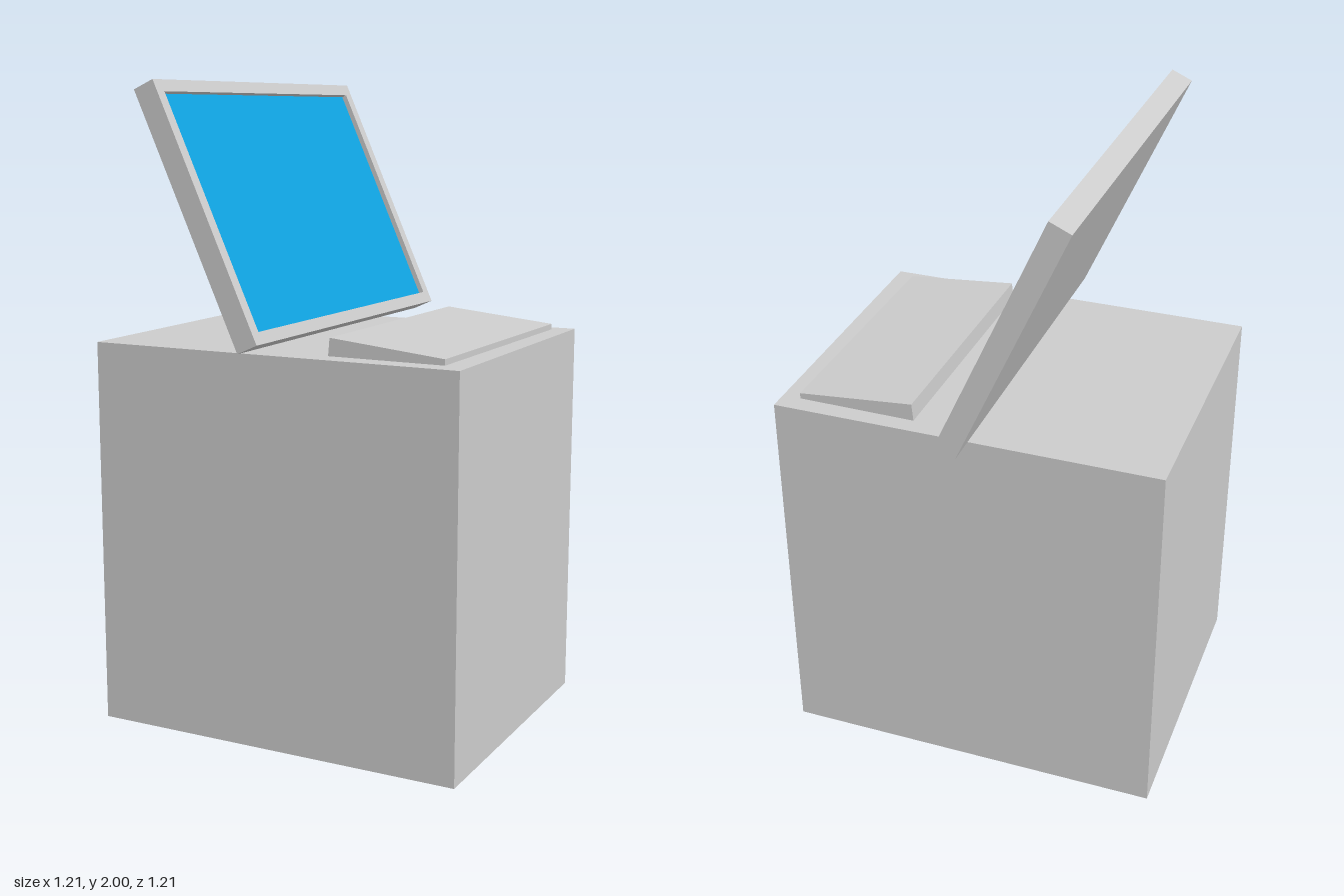
import * as THREE from 'three';

export function createModel() {
  const casing = new THREE.MeshStandardMaterial({ color: 0xcccccc });
  casing.name = 'casingGrey';
  const glass = new THREE.MeshStandardMaterial({ color: 0x10a4e2 });
  glass.name = 'screenBlue';

  const model = new THREE.Group();
  const add = (parent, name, geometry, material) => {
    const mesh = new THREE.Mesh(geometry, material);
    mesh.name = name;
    parent.add(mesh);
    return mesh;
  };

  // Cabinet
  add(model, 'cabinet', new THREE.BoxGeometry(1.208, 1.215, 0.956), casing).position.y = 0.6075;

  // Monitor, built facing its local +z, then turned to +x and tilted back
  const W = 0.604, H = 0.405, T = 0.07, border = 0.037, recess = 0.016;
  const monitor = new THREE.Group();
  monitor.name = 'monitor';
  monitor.position.set(-0.161, 1.618, 0);
  monitor.rotation.order = 'ZYX';
  monitor.rotation.set(0, Math.PI / 2, 0.422);
  model.add(monitor);

  const rect = (target, w, h) => {
    target.moveTo(-w, -h);
    target.lineTo(w, -h);
    target.lineTo(w, h);
    target.lineTo(-w, h);
    target.closePath();
    return target;
  };
  const bezelShape = rect(new THREE.Shape(), W, H);
  bezelShape.holes.push(rect(new THREE.Path(), W - border, H - border));
  const bezel = new THREE.ExtrudeGeometry(bezelShape, { depth: T, bevelEnabled: false });
  add(monitor, 'monitorBezel', bezel, casing).position.z = -T / 2;

  // Back panel closes the bezel from behind
  const panelDepth = T - recess - 0.004;
  add(monitor, 'monitorBack', new THREE.BoxGeometry(2 * (W - border), 2 * (H - border), panelDepth), casing)
    .position.z = -T / 2 + panelDepth / 2;

  // Recessed screen
  add(monitor, 'screen', new THREE.BoxGeometry(2 * (W - border), 2 * (H - border), 0.004), glass)
    .position.z = T / 2 - recess - 0.002;

  // Wedge-shaped keyboard, slightly askew
  const wedge = new THREE.Shape([
    new THREE.Vector2(-0.185, 0),
    new THREE.Vector2(0.185, 0),
    new THREE.Vector2(0.185, 0.018),
    new THREE.Vector2(-0.18, 0.054),
  ]);
  const keyboardGeometry = new THREE.ExtrudeGeometry(wedge, { depth: 0.84, bevelEnabled: false });
  keyboardGeometry.translate(0, 0, -0.42);
  const keyboard = add(model, 'keyboard', keyboardGeometry, casing);
  keyboard.position.set(0.355, 1.2165, -0.002);
  keyboard.rotation.y = -0.012;

  return model;
}
